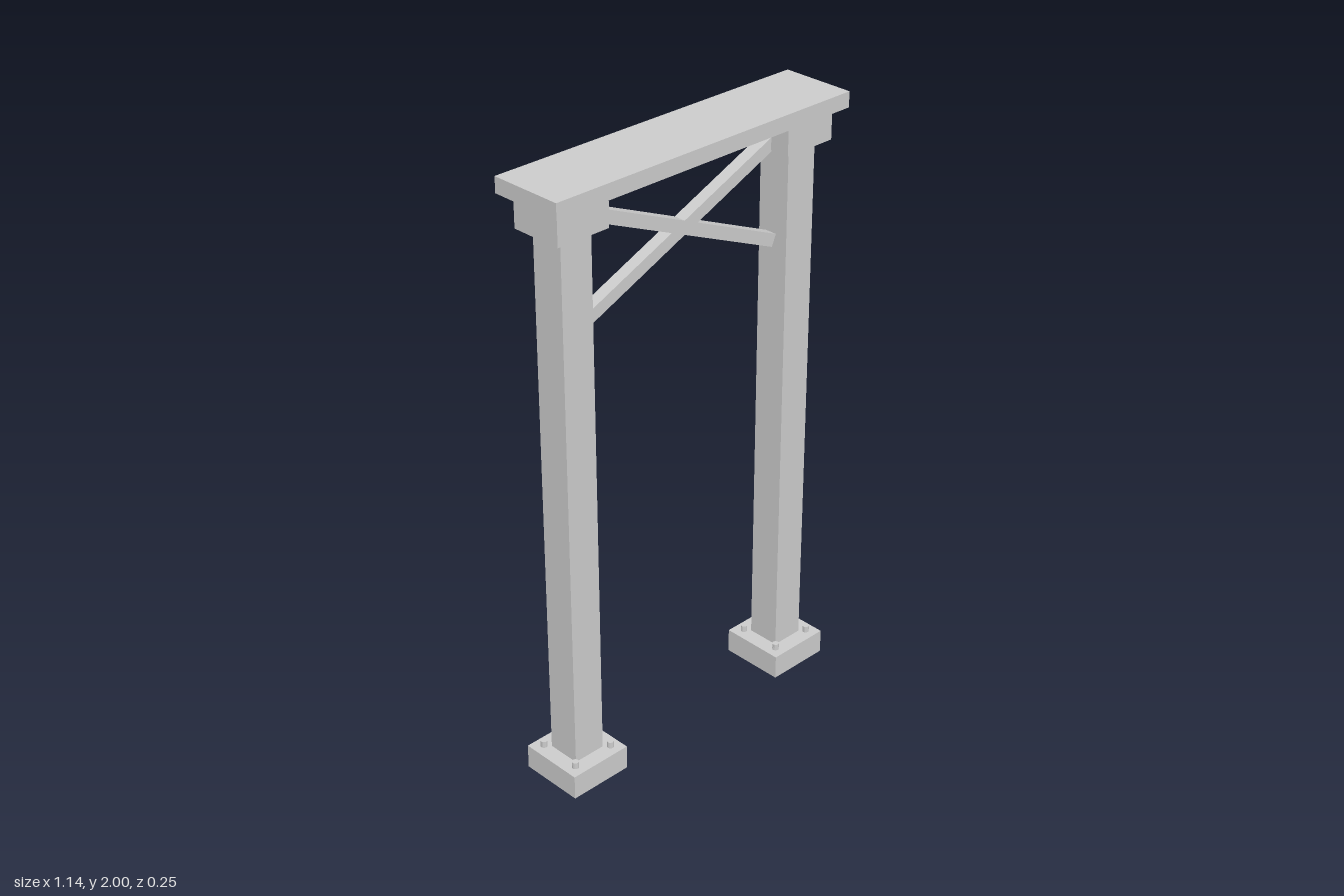
import * as THREE from 'three';

export function createModel() {
  const model = new THREE.Group();
  const mat = new THREE.MeshStandardMaterial({ color: 0xcccccc, flatShading: true });

  const add = (parent, name, geometry, x, y, z) => {
    const mesh = new THREE.Mesh(geometry, mat);
    mesh.name = name;
    mesh.position.set(x, y, z);
    parent.add(mesh);
    return mesh;
  };
  // Box standing between two heights
  const block = (parent, name, w, y0, y1, d) =>
    add(parent, name, new THREE.BoxGeometry(w, y1 - y0, d), 0, (y0 + y1) / 2, 0);

  // Top beam
  block(model, 'topBeam', 1.14, 1.95, 2, 0.248);

  // Two columns with footing, anchor bolts and cap
  for (const side of [-1, 1]) {
    const column = new THREE.Group();
    column.name = side > 0 ? 'leftColumn' : 'rightColumn';
    column.position.x = side * 0.445;
    model.add(column);

    block(column, 'footing', 0.218, 0, 0.082, 0.218);
    block(column, 'post', 0.112, 0.082, 1.848, 0.112);
    block(column, 'cap', 0.186, 1.848, 1.95, 0.176);

    for (const bx of [-1, 1])
      for (const bz of [-1, 1])
        add(column, 'anchorBolt', new THREE.CylinderGeometry(0.011, 0.011, 0.024, 12),
          bx * 0.073, 0.092, bz * 0.073);
  }

  // Crossed diagonal braces
  for (const side of [-1, 1]) {
    const brace = add(model, side > 0 ? 'braceRisingLeft' : 'braceRisingRight',
      new THREE.BoxGeometry(0.813, 0.041, 0.041), 0, 1.713, 0);
    brace.rotation.z = side * 0.408;
  }
  return model;
}
